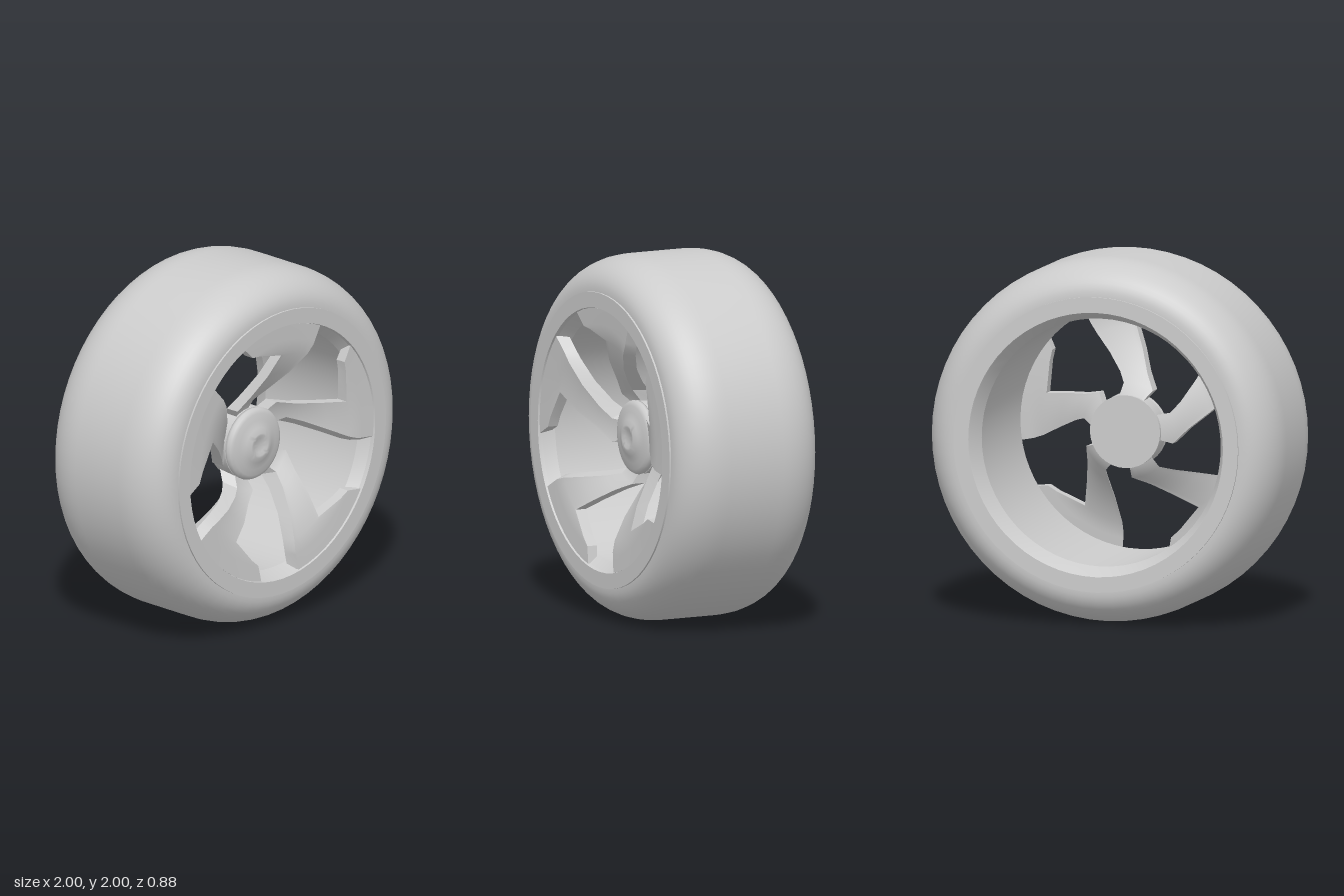
import * as THREE from 'three';
import { toCreasedNormals } from 'three/addons/utils/BufferGeometryUtils.js';

const material = new THREE.MeshStandardMaterial({ color: 0xcccccc });

// Revolve a [radius, z] profile around the wheel's axle (z).
function revolve(name, profile, segments, crease) {
  const points = profile.map(([r, z]) => new THREE.Vector2(r, z));
  const geometry = new THREE.LatheGeometry(points, segments).rotateX(Math.PI / 2);
  const mesh = new THREE.Mesh(toCreasedNormals(geometry, crease), material);
  mesh.name = name;
  return mesh;
}

// Tyre: flat tread with rounded shoulders.
function makeTyre() {
  const shoulder = [];
  for (let i = 0; i <= 12; i++) {
    const a = (i / 12) * Math.PI / 2;
    shoulder.push([0.81 + 0.19 * Math.cos(a) ** 0.95, 0.16 + 0.272 * Math.sin(a) ** 0.95]);
  }
  const back = shoulder.map(([r, z]) => [r, -z]).reverse();
  return revolve('tyre', [[0.78, -0.432], ...back, ...shoulder, [0.78, 0.432]], 64, 0.6);
}

// Rim: a barrel with a flat lip and a sloped step at both ends.
function makeRim() {
  return revolve('rim', [
    [0.81, -0.442], [0.81, 0.442], [0.725, 0.442], [0.72, 0.42], [0.68, 0.36],
    [0.68, -0.34], [0.72, -0.435], [0.725, -0.442], [0.81, -0.442],
  ], 64, 0.25);
}

// Spoke: a dished plate made of arcs at growing radius. Each row gives
// [radius, front z, thickness, right angle in front, right angle behind, left angle].
function makeSpokeGeometry() {
  const rows = [
    [0.15, 0.18, 0.08, 91, 78, 120],
    [0.2, 0.19, 0.08, 92, 79, 120],
    [0.26, 0.235, 0.08, 93, 84, 122],
    [0.32, 0.29, 0.075, 84, 78, 106],
    [0.43, 0.365, 0.07, 73, 69.5, 95],
    [0.55, 0.415, 0.065, 66.5, 64, 88.3],
    [0.61, 0.425, 0.06, 65, 62.8, 104.5],
    [0.635, 0.427, 0.06, 65, 62.7, 110],
    [0.722, 0.432, 0.055, 65, 62.5, 113.5],
  ];
  const columns = 8;
  const arc = (r, z, from, to) => Array.from({ length: columns + 1 }, (_, i) => {
    const a = THREE.MathUtils.degToRad(THREE.MathUtils.lerp(from, to, i / columns));
    return new THREE.Vector3(r * Math.cos(a), r * Math.sin(a), z);
  });
  // Loop around each cross-section: along the front, then back along the rear.
  const loops = rows.map(([r, z, t, front, behind, left]) => [
    ...arc(r, z, front, left), ...arc(r, z - t, behind, left).reverse(),
  ]);

  const corners = [];
  const quad = (a, b, c, d) => corners.push(a, b, c, a, c, d);
  const count = loops[0].length;
  for (let k = 0; k < loops.length - 1; k++) {
    for (let i = 0; i < count; i++) {
      const j = (i + 1) % count;
      quad(loops[k][i], loops[k + 1][i], loops[k + 1][j], loops[k][j]);
    }
  }
  // Close both ends; they sit inside the hub and the rim.
  const inner = loops[0], outer = loops[loops.length - 1];
  for (let i = 0; i < columns; i++) {
    const m = count - 1 - i;
    quad(inner[i], inner[i + 1], inner[m - 1], inner[m]);
    quad(outer[m], outer[m - 1], outer[i + 1], outer[i]);
  }
  return toCreasedNormals(new THREE.BufferGeometry().setFromPoints(corners), 0.5);
}

export function createModel() {
  const wheel = new THREE.Group();
  wheel.name = 'wheel';
  wheel.add(makeTyre(), makeRim());

  // Five spokes, evenly turned about the axle.
  const spokes = new THREE.Group();
  spokes.name = 'spokes';
  const spokeGeometry = makeSpokeGeometry();
  for (let i = 0; i < 5; i++) {
    const spoke = new THREE.Mesh(spokeGeometry, material);
    spoke.name = 'spoke';
    spoke.rotation.z = (i * Math.PI * 2) / 5;
    spokes.add(spoke);
  }
  wheel.add(spokes);

  // Hub drum and its domed cap with a dimple in the middle.
  wheel.add(
    revolve('hub', [[0, 0.09], [0.2, 0.09], [0.2, 0.2], [0, 0.2]], 32, 0.5),
    revolve('hubCap', [
      [0, 0.195], [0.19, 0.195], [0.2, 0.205], [0.203, 0.22], [0.195, 0.235],
      [0.175, 0.244], [0.14, 0.25], [0.1, 0.262], [0.07, 0.276], [0.058, 0.276],
      [0.04, 0.268], [0, 0.266],
    ], 32, 1),
  );

  wheel.position.y = 1;
  const model = new THREE.Group();
  model.name = 'model';
  model.add(wheel);
  return model;
}
